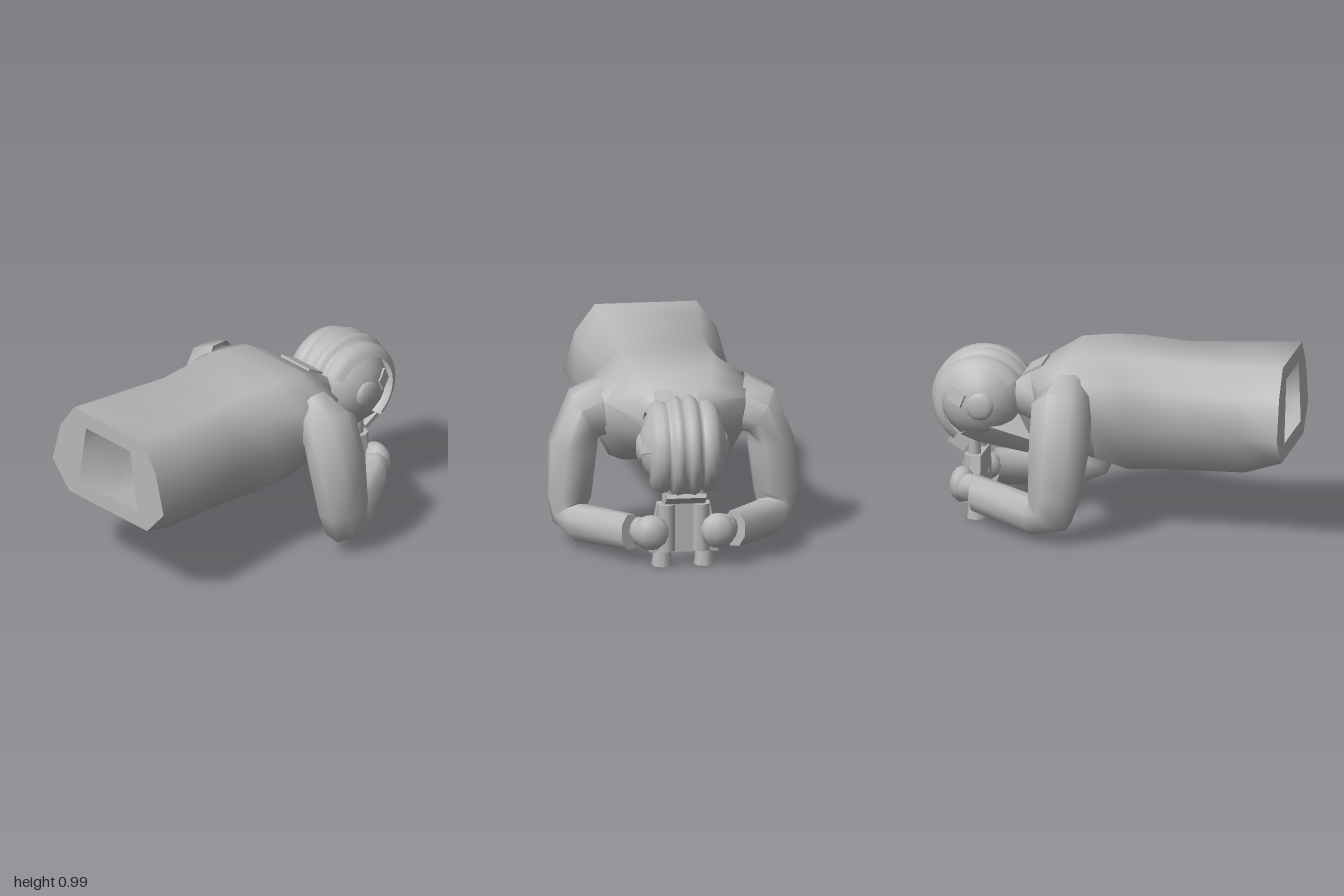
import * as THREE from 'three';
import { toCreasedNormals } from 'three/addons/utils/BufferGeometryUtils.js';
import { ConvexGeometry } from 'three/addons/geometries/ConvexGeometry.js';

const V = (x, y, z) => new THREE.Vector3(x, y, z);

// Skin a list of equal-length closed rings, optionally capping the last one
function loft(rings, capEnd = false, crease = 1.2) {
  const n = rings[0].length, pos = [], idx = [];
  rings.forEach(r => r.forEach(p => pos.push(p.x, p.y, p.z)));
  for (let i = 0; i < rings.length - 1; i++) {
    for (let j = 0; j < n; j++) {
      const a = i * n + j, b = i * n + (j + 1) % n;
      idx.push(a, b, a + n, b, b + n, a + n);
    }
  }
  if (capEnd) {
    const s = (rings.length - 1) * n;
    for (let j = 1; j < n - 1; j++) idx.push(s, s + j, s + j + 1);
  }
  const g = new THREE.BufferGeometry();
  g.setAttribute('position', new THREE.Float32BufferAttribute(pos, 3));
  g.setIndex(idx);
  return toCreasedNormals(g, crease);
}

// Symmetric eight-point section, half given from top to bottom; z may tilt
function section(half, zTop, zBottom = zTop) {
  const yT = half[0][1], yB = half[3][1];
  const right = half.map(([x, y]) => V(x, y, zTop + (zBottom - zTop) * (yT - y) / (yT - yB)));
  const left = right.map(p => V(-p.x, p.y, p.z)).reverse();
  return [...left, ...right].reverse();
}

// Eight-sided ring about a centre, square to a direction
function limbRing([c, dir, ra, rb]) {
  const t = V(...dir).normalize();
  const b = V(-1, -0.01, 0);
  b.addScaledVector(t, -b.dot(t)).normalize();
  const a = b.clone().cross(t);
  return Array.from({ length: 8 }, (_, i) => {
    const q = (i + 0.5) * Math.PI / 4, k = 1.05;
    return V(...c).addScaledVector(a, Math.cos(q) * ra * k).addScaledVector(b, -Math.sin(q) * rb * k);
  });
}

export function createModel() {
  const model = new THREE.Group();
  const grey = new THREE.MeshStandardMaterial({ color: 0xb8b8b8, side: THREE.DoubleSide });
  grey.name = 'plain grey';
  const add = (name, geo, parent = model) => {
    const m = new THREE.Mesh(geo, grey);
    m.name = name;
    parent.add(m);
    return m;
  };

  // Hollow torso lying along z, waist at the front and neck at the back
  const waist = [[0.28, 0.98], [0.39, 0.83], [0.455, 0.6], [0.32, 0.45]];
  const neckHole = [[0.12, 0.83], [0.18, 0.72], [0.18, 0.66], [0.12, 0.545]];
  add('torso', loft([
    section(waist, 1),
    section([[0.27, 0.97], [0.38, 0.82], [0.425, 0.6], [0.24, 0.365]], 0.78),
    section([[0.23, 0.965], [0.33, 0.82], [0.36, 0.6], [0.23, 0.36]], 0.38),
    section([[0.24, 0.985], [0.35, 0.85], [0.39, 0.6], [0.23, 0.35]], 0.12),
    section([[0.25, 0.98], [0.43, 0.86], [0.44, 0.64], [0.33, 0.43]], -0.04),
    section([[0.22, 0.968], [0.41, 0.88], [0.41, 0.63], [0.32, 0.47]], -0.21),
    section([[0.2, 0.885], [0.39, 0.82], [0.37, 0.66], [0.24, 0.53]], -0.35, -0.31),
    section(neckHole, -0.44, -0.36),
  ]));

  // Waist rim with its opening
  const opening = [[0.18, 0.89], [0.2, 0.775], [0.22, 0.655], [0.24, 0.54]];
  const outline = h => [...h, ...h.map(([x, y]) => [-x, y]).reverse()].map(p => new THREE.Vector2(...p));
  const rim = new THREE.Shape(outline(waist));
  rim.holes.push(new THREE.Path(outline(opening)));
  add('waistRim', new THREE.ShapeGeometry(rim)).position.z = 1;

  // Neck and collar flap
  add('neck', loft([
    section(neckHole, -0.44, -0.36),
    section([[0.1, 0.775], [0.135, 0.72], [0.135, 0.66], [0.1, 0.6]], -0.53, -0.51),
  ]));
  const collar = add('collar', new THREE.BoxGeometry(0.23, 0.012, 0.115));
  collar.position.set(0, 0.853, -0.425);
  collar.rotation.x = -0.5;

  // Head facing down, crown pointing backwards
  const head = add('head', new THREE.SphereGeometry(1, 20, 14));
  head.scale.set(0.245, 0.25, 0.245);
  head.position.set(0, 0.67, -0.715);
  const jaw = [];
  for (const s of [-1, 1]) {
    jaw.push(V(s * 0.1, 0.6, -0.51), V(s * 0.15, 0.46, -0.42), V(s * 0.09, 0.375, -0.46),
      V(s * 0.12, 0.43, -0.73), V(s * 0.21, 0.56, -0.72), V(s * 0.16, 0.48, -0.82));
  }
  add('jaw', toCreasedNormals(new ConvexGeometry(jaw), 0.8));

  // Ribbed helmet swept around the sideways axis of the head
  const ribs = [[0.2, 0.2], [0.185, 0.225], [0.165, 0.25], [0.13, 0.262], [0.1, 0.255], [0.088, 0.245],
    [0.075, 0.265], [0.05, 0.286], [0.022, 0.28], [0, 0.258]];
  const profile = [...ribs, ...ribs.slice(0, -1).reverse().map(([x, r]) => [-x, r])];
  const helmet = new THREE.LatheGeometry(profile.map(([x, r]) => new THREE.Vector2(r, x)), 22, 0.6, 3.5);
  helmet.rotateZ(Math.PI / 2);
  add('helmet', helmet).position.set(0, 0.66, -0.715);
  const brim = add('helmetBrim', new THREE.BoxGeometry(0.22, 0.025, 0.11));
  brim.position.set(0, 0.405, -0.85);
  brim.rotation.x = 0.55;

  // Tapered body of the binoculars
  const body = new THREE.Shape([[-0.19, 0.08], [0.19, 0.08], [0.145, 0.355], [-0.145, 0.355]]
    .map(p => new THREE.Vector2(...p)));
  add('binocularBody', new THREE.ExtrudeGeometry(body, { depth: 0.06, bevelEnabled: false }))
    .position.z = -0.77;

  // Parts that come in pairs
  for (const side of [1, -1]) {
    const half = new THREE.Group();
    half.name = side > 0 ? 'leftSide' : 'rightSide';
    half.scale.x = side;
    model.add(half);

    // Sleeve: [centre, direction, radius along the body, radius across]
    add('arm', loft([
      [[0.355, 0.765, -0.18], [1, -0.3, 0], 0.12, 0.16],
      [[0.485, 0.72, -0.195], [0.25, -0.15, 0], 0.165, 0.145],
      [[0.545, 0.545, -0.195], [0.12, -1, 0], 0.165, 0.13],
      [[0.57, 0.26, -0.22], [0.05, -1, -0.1], 0.142, 0.12],
      [[0.565, 0.165, -0.245], [-0.3, -0.75, -0.5], 0.128, 0.1],
      [[0.51, 0.135, -0.34], [-0.45, -0.05, -0.85], 0.1, 0.105],
      [[0.285, 0.185, -0.71], [-0.5, 0.06, -0.85], 0.1, 0.065],
    ].map(limbRing), true), half);

    // Hand wrapped around the barrel
    const hand = add('hand', new THREE.SphereGeometry(1, 9, 7), half);
    hand.scale.set(0.1, 0.1, 0.07);
    hand.position.set(0.185, 0.205, -0.805);
    const wrist = add('wrist', new THREE.SphereGeometry(1, 8, 6), half);
    wrist.scale.set(0.06, 0.08, 0.085);
    wrist.position.set(0.24, 0.2, -0.75);
    const thumb = add('thumb', new THREE.SphereGeometry(1, 7, 5), half);
    thumb.scale.set(0.03, 0.04, 0.03);
    thumb.position.set(0.08, 0.205, -0.73);

    // Binocular barrels from lens to eyepiece
    const lens = add('lensBarrel', new THREE.CylinderGeometry(0.048, 0.058, 0.09, 8), half);
    lens.position.set(0.117, 0.045, -0.735);
    const barrel = add('barrel', new THREE.CylinderGeometry(0.05, 0.05, 0.265, 8), half);
    barrel.position.set(0.095, 0.223, -0.762);
    const eyepiece = add('eyepiece', new THREE.CylinderGeometry(0.035, 0.035, 0.11, 8), half);
    eyepiece.position.set(0.085, 0.4, -0.755);

    // Ear and helmet clip
    const ear = add('ear', new THREE.SphereGeometry(1, 10, 7), half);
    ear.scale.set(0.03, 0.08, 0.08);
    ear.position.set(0.228, 0.66, -0.7);
    const clip = add('helmetClip', new THREE.BoxGeometry(0.03, 0.07, 0.1), half);
    clip.position.set(0.205, 0.7, -0.83);
    clip.rotation.set(0.4, 0.5, 0);
  }
  return model;
}
